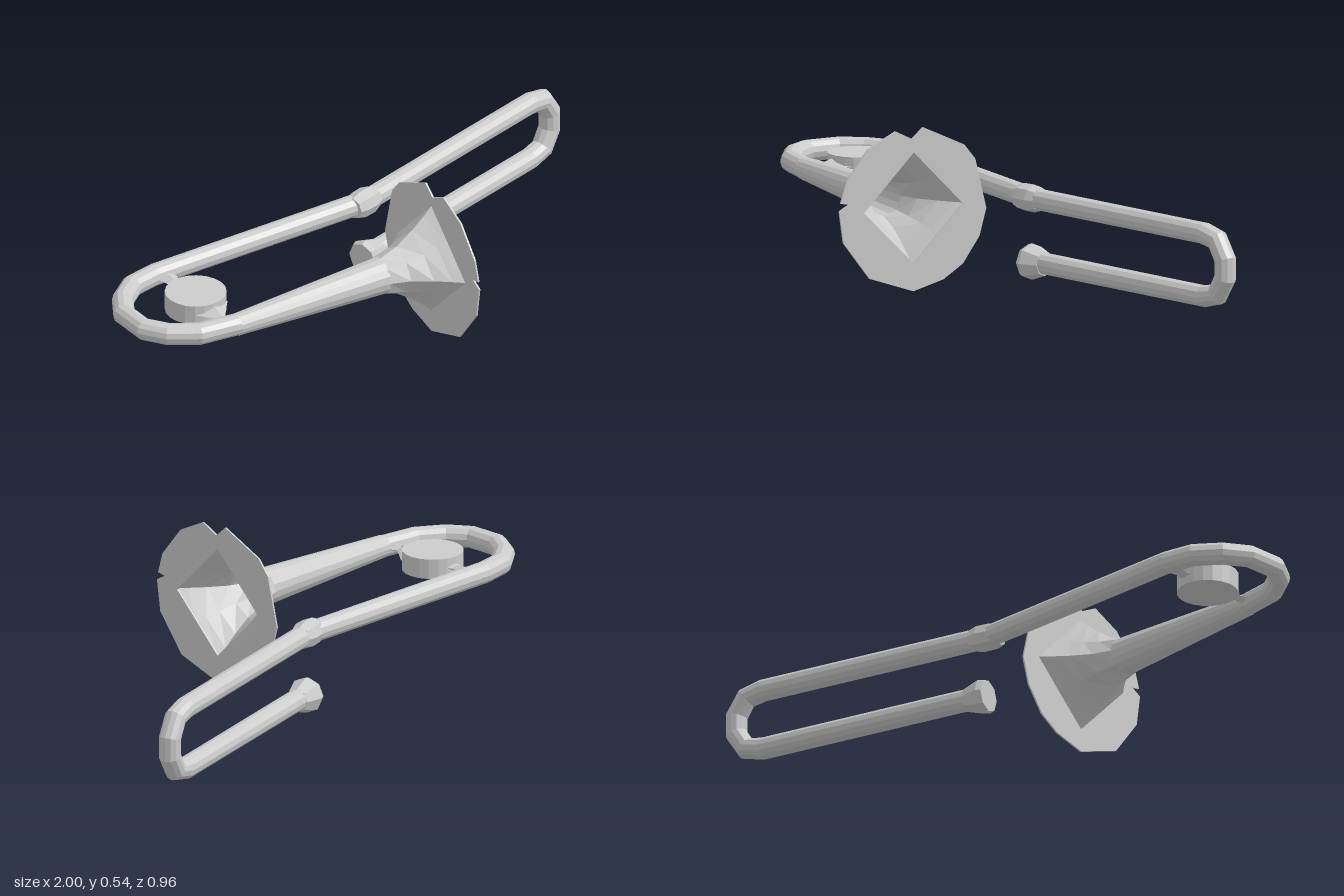
import * as THREE from 'three';

const material = new THREE.MeshStandardMaterial({ color: 0xcccccc, flatShading: true, side: THREE.DoubleSide });

// Sweeps a ring along a planar path. Each row is [x, y, z, radius, diagonal factor];
// the factor scales every odd corner, so 8 sides can turn into a diamond.
function sweep(rows, binormal, sides, capped = true) {
  const points = rows.map(([x, y, z]) => new THREE.Vector3(x, y, z));
  const last = points.length - 1;
  const pos = [], index = [];
  rows.forEach(([, , , r, k = 1], i) => {
    const dirs = [];
    if (i > 0) dirs.push(points[i].clone().sub(points[i - 1]).normalize());
    if (i < last) dirs.push(points[i + 1].clone().sub(points[i]).normalize());
    const tangent = dirs.reduce((a, b) => a.clone().add(b)).normalize();
    const u = tangent.clone().cross(binormal).normalize();
    for (let j = 0; j < sides; j++) {
      const a = (j / sides) * Math.PI * 2;
      const s = j % 2 ? r * k : r;
      const p = points[i].clone()
        .addScaledVector(binormal, Math.cos(a) * s)
        .addScaledVector(u, Math.sin(a) * s);
      pos.push(p.x, p.y, p.z);
      if (i < last) {
        const n = (j + 1) % sides, c = i * sides, d = c + sides;
        index.push(c + j, c + n, d + n, c + j, d + n, d + j);
      }
    }
  });
  if (capped) {
    for (let j = 1; j < sides - 1; j++) {
      const e = last * sides;
      index.push(0, j + 1, j, e, e + j, e + j + 1);
    }
  }
  const g = new THREE.BufferGeometry();
  g.setAttribute('position', new THREE.Float32BufferAttribute(pos, 3));
  g.setIndex(index);
  const flat = g.toNonIndexed();
  flat.computeVertexNormals();
  return flat;
}

export function createModel() {
  const model = new THREE.Group();
  model.name = 'trombone';
  const add = (name, geometry) => {
    const mesh = new THREE.Mesh(geometry, material);
    mesh.name = name;
    model.add(mesh);
    return mesh;
  };
  const up = new THREE.Vector3(0, 1, 0);
  const Y = 0.272, R = 0.036;

  // Rear tube: straight run, then the U-shaped tuning bend
  const bend = [
    [0.05, -0.207], [-0.74, -0.207], [-0.84, -0.188], [-0.915, -0.13], [-0.962, -0.055],
    [-0.962, 0.06], [-0.915, 0.13], [-0.83, 0.185], [-0.69, 0.204],
  ];
  add('tuningBend', sweep(bend.map(([x, z]) => [x, Y, z, R]), up, 12));

  // Tapered bell tube
  add('bellTube', sweep([[-0.7, Y, 0.204, 0.037], [-0.14, Y, 0.208, 0.062]], up, 16, false));

  // Flare turning from round to diamond
  const flare = [
    [-0.145, 0.063, 1], [-0.08, 0.087, 0.88], [-0.02, 0.128, 0.76],
    [0.025, 0.165, 0.72], [0.058, 0.195, 0.71],
  ];
  add('bellFlare', sweep(flare.map(([x, r, k]) => [x, Y, 0.209, r, k]), up, 8, false));

  // Thin, notched rim with a diamond opening
  const rim = [
    [0.275, 0.53], [0.375, 0.48], [0.455, 0.38], [0.475, 0.31], [0.445, 0.305], [0.48, 0.285],
    [0.465, 0.18], [0.37, 0.055], [0.21, 0], [0.1, 0.03], [0.03, 0.075], [-0.03, 0.16],
    [-0.055, 0.25], [-0.015, 0.415], [0.025, 0.465], [0.175, 0.535], [0.215, 0.5],
  ];
  const toShape = ([z, y]) => new THREE.Vector2(-z, y);
  const shape = new THREE.Shape(rim.map(toShape));
  shape.holes.push(new THREE.Path(
    [[0.209, 0.455], [0.39, Y], [0.209, 0.09], [0.03, Y]].map(toShape)));
  const rimGeo = new THREE.ExtrudeGeometry(shape, { depth: 0.006, bevelEnabled: false });
  rimGeo.rotateY(Math.PI / 2);
  add('bellRim', rimGeo).position.x = 0.056;

  // Hand slide, angled backwards: upper tube, end bow, lower tube
  const onSlide = (x, y, r) => [x, y, -0.207 - (x - 0.08) * 0.272, r];
  const slideSide = new THREE.Vector3(0.272, 0, 1).normalize();
  const low = 0.066;
  const slide = [
    [0.08, Y], [0.87, Y], [0.93, 0.258], [0.965, 0.2],
    [0.965, 0.138], [0.93, 0.08], [0.87, low], [0.12, low],
  ];
  add('slide', sweep(slide.map(([x, y]) => onSlide(x, y, R)), slideSide, 12));

  // Coupling between the rear tube and the slide
  add('coupling', sweep(
    [[0.025, 0.036], [0.05, 0.045], [0.095, 0.046], [0.125, 0.037]].map(([x, r]) => onSlide(x, Y, r)),
    slideSide, 8));

  // Mouthpiece on the lower slide tube
  add('mouthpiece', sweep(
    [[0.068, 0.054], [0.085, 0.06], [0.145, 0.039]].map(([x, r]) => onSlide(x, low - 0.002, r)),
    slideSide, 8));

  // Round weight held between the two tubes
  add('weight', new THREE.CylinderGeometry(0.1, 0.1, 0.066, 20)).position.set(-0.72, Y, 0);

  // Braces: pinched wedges from the weight to the tubes
  for (const side of [1, -1]) {
    const reach = side > 0 ? [0.065, 0.14, 0.18] : [0.08, 0.11, 0.18];
    const width = side > 0 ? [0.075, 0.014, 0.03] : [0.04, 0.018, 0.034];
    add(side > 0 ? 'frontBrace' : 'backBrace', sweep(
      reach.map((z, i) => [-0.715, Y, side * z, Math.min(width[i], 0.075)]), up, 4)
      .translate(0, -Y, 0).scale(1, 0.45, 1).translate(0, Y, 0));
  }

  return model;
}
